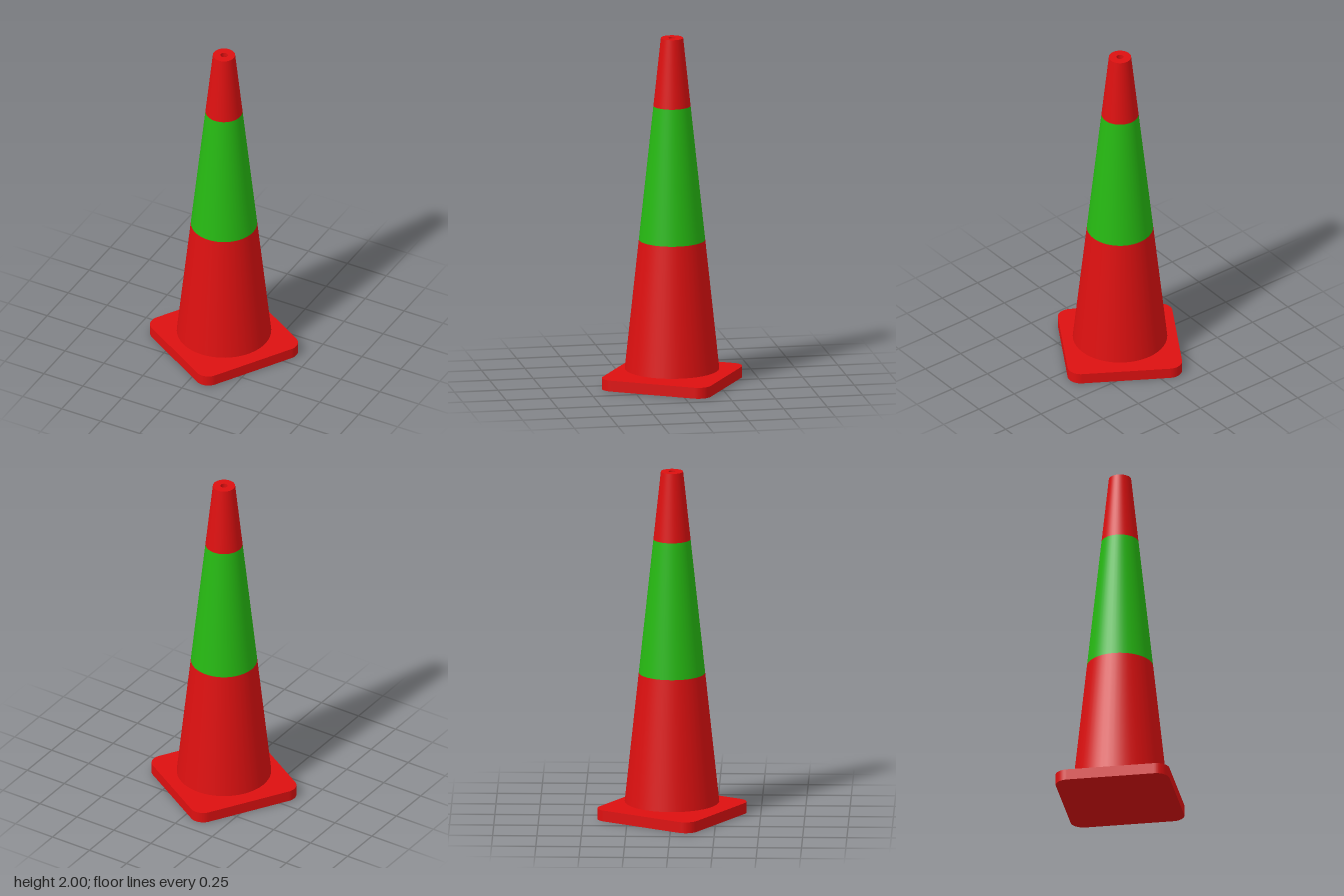
import * as THREE from 'three';

const red = new THREE.MeshStandardMaterial({ color: 0xdd1010, side: THREE.DoubleSide });
red.name = 'red';
const green = new THREE.MeshStandardMaterial({ color: 0x26b912, side: THREE.DoubleSide });
green.name = 'green';

const BOTTOM = 0.085, TOP = 2, R_BOTTOM = 0.267, R_TOP = 0.063, HOLE = 0.02;
const radiusAt = (y) => THREE.MathUtils.mapLinear(y, BOTTOM, TOP, R_BOTTOM, R_TOP);

export function createModel() {
  const group = new THREE.Group();
  group.name = 'trafficCone';

  const add = (name, geometry, material) => {
    const mesh = new THREE.Mesh(geometry, material);
    mesh.name = name;
    group.add(mesh);
    return mesh;
  };

  // Rounded square base, turned about the vertical axis
  const h = 0.325, r = 0.075, c = h - r;
  const outline = new THREE.Shape();
  [[c, c], [-c, c], [-c, -c], [c, -c]].forEach(([x, y], i) =>
    outline.absarc(x, y, r, i * Math.PI / 2, (i + 1) * Math.PI / 2));
  const base = new THREE.ExtrudeGeometry(outline, { depth: 0.063, bevelEnabled: false, curveSegments: 16 });
  base.rotateX(-Math.PI / 2);
  base.rotateY(THREE.MathUtils.degToRad(-31));
  add('base', base, red);

  // Tapered hollow body in three bands, floating just above the base
  const bands = [
    ['lowerBody', BOTTOM, 0.832, red],
    ['greenBand', 0.832, 1.607, green],
    ['upperBody', 1.607, TOP, red],
  ];
  for (const [name, y0, y1, material] of bands) {
    const band = new THREE.CylinderGeometry(radiusAt(y1), radiusAt(y0), y1 - y0, 48, 1, true);
    add(name, band, material).position.y = (y0 + y1) / 2;
  }

  // Flat top with a small central hole
  const cap = new THREE.RingGeometry(HOLE, R_TOP, 48);
  cap.rotateX(-Math.PI / 2);
  add('topCap', cap, red).position.y = TOP;
  const hole = new THREE.CylinderGeometry(HOLE, HOLE, 0.05, 16, 1, true);
  add('topHoleWall', hole, red).position.y = TOP - 0.025;

  return group;
}
